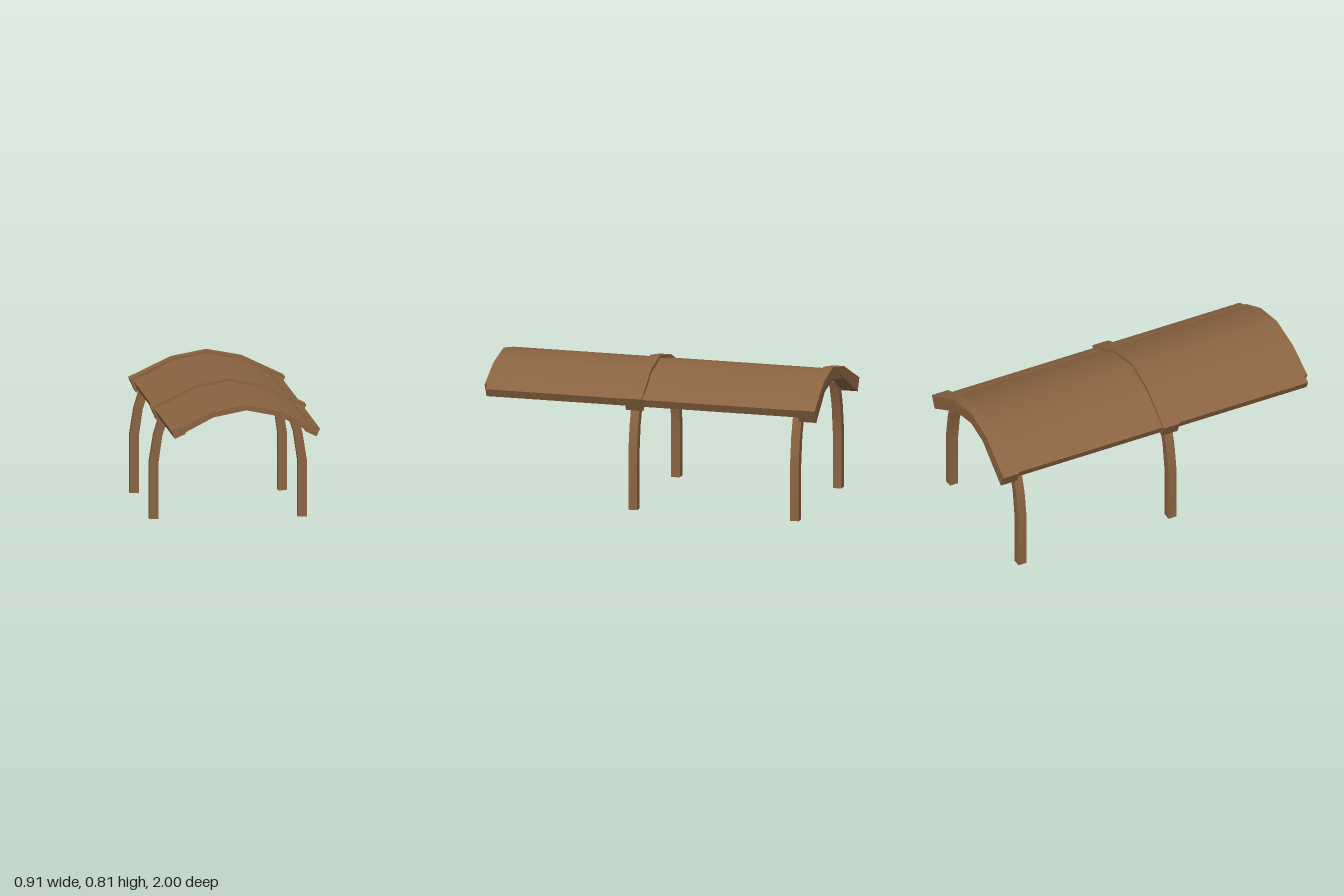
import * as THREE from 'three';
import { toCreasedNormals } from 'three/addons/utils/BufferGeometryUtils.js';

const wood = new THREE.MeshStandardMaterial({ color: 0x8b6441 });
wood.name = 'brown wood';

// Extrudes an outline of [x, y] points between two depths
function prism(points, z0, z1) {
  const shape = new THREE.Shape(points.map(([x, y]) => new THREE.Vector2(x, y)));
  const geo = new THREE.ExtrudeGeometry(shape, { depth: z1 - z0, bevelEnabled: false });
  return geo.translate(0, 0, z0);
}

// Closed outline from the right halves of an outer and an inner edge, apex first
function archOutline(outer, inner) {
  const full = half => [...half.slice(1).reverse().map(([x, y]) => [-x, y]), ...half];
  return [...full(outer), ...full(inner).reverse()];
}

function addPart(group, name, geo) {
  const mesh = new THREE.Mesh(toCreasedNormals(geo, 0.6), wood);
  mesh.name = name;
  group.add(mesh);
  return mesh;
}

// Arched rib, flaring in depth towards both ends
function ribGeometry() {
  const geo = prism(archOutline(
    [[0, 0.812], [0.204, 0.773], [0.449, 0.653]],
    [[0, 0.74], [0.18, 0.707], [0.415, 0.578]]), -1, 1);
  const pos = geo.attributes.position;
  for (let i = 0; i < pos.count; i++) {
    const t = Math.min(1, Math.abs(pos.getX(i)) / 0.415);
    pos.setZ(i, Math.sign(pos.getZ(i)) * (0.028 + 0.024 * t * t));
  }
  geo.computeVertexNormals();
  return geo;
}

export function createModel() {
  const group = new THREE.Group();
  group.name = 'archedCanopy';

  // Curved roof sheet
  addPart(group, 'roof', prism(archOutline(
    [[0, 0.795], [0.2, 0.755], [0.382, 0.663]],
    [[0, 0.764], [0.19, 0.726], [0.368, 0.633]]), -0.95, 1));

  // Ribs over the roof
  for (const [name, z] of [['middleRib', 0.09], ['backRib', -0.948]]) {
    addPart(group, name, ribGeometry()).position.z = z;
  }

  const leg = [[0.455, 0], [0.455, 0.33], [0.43, 0.49], [0.4, 0.588], [0.372, 0.645],
    [0.323, 0.645], [0.338, 0.612], [0.38, 0.49], [0.403, 0.33], [0.403, 0]];
  const beam = [[0.367, 0.676], [0.43, 0.647], [0.41, 0.602], [0.347, 0.631]];

  for (const [side, s] of [['left', 1], ['right', -1]]) {
    const mirrored = points => points.map(([x, y]) => [s * x, y]);
    // Tilted eave beams
    addPart(group, side + 'EaveBeam', prism(mirrored(beam), -0.95, 0.98));
    // Bent legs
    for (const [name, z] of [['MiddleLeg', 0.09], ['BackLeg', -0.88]]) {
      addPart(group, side + name, prism(mirrored(leg), z - 0.026, z + 0.026));
    }
  }
  return group;
}
